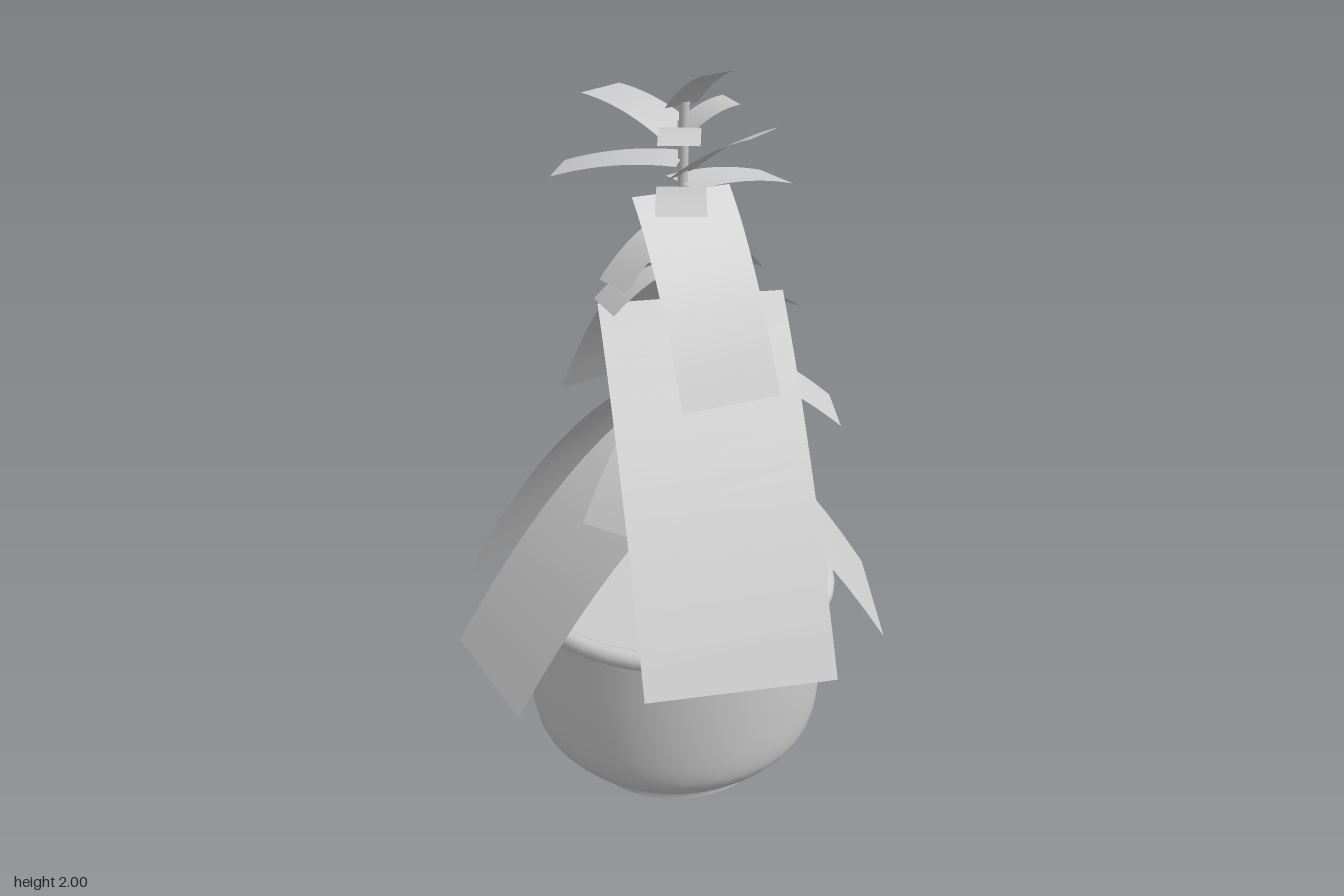
import * as THREE from 'three';

const material = new THREE.MeshStandardMaterial({ color: 0xcccccc, side: THREE.DoubleSide });

// Strip of constant width from the stem to a tip, arched by a bulge
function leaf(name, [x1, z1], y0, y1, width, bulge, x0 = -0.015, z0 = -0.057) {
  const geo = new THREE.PlaneGeometry(1, 1, 1, 10);
  const pos = geo.attributes.position;
  const length = Math.hypot(x1 - x0, z1 - z0);
  const sx = -(z1 - z0) / length, sz = (x1 - x0) / length;
  for (let i = 0; i < pos.count; i++) {
    const side = -pos.getX(i) * width;
    const t = 0.5 - pos.getY(i);
    pos.setXYZ(i,
      x0 + (x1 - x0) * t + sx * side,
      y0 + (y1 - y0) * t + 4 * bulge * t * (1 - t),
      z0 + (z1 - z0) * t + sz * side);
  }
  geo.computeVertexNormals();
  const mesh = new THREE.Mesh(geo, material);
  mesh.name = name;
  return mesh;
}

export function createModel() {
  const group = new THREE.Group();
  const add = (name, geo, x = 0, y = 0, z = 0) => {
    const mesh = new THREE.Mesh(geo, material);
    mesh.name = name;
    mesh.position.set(x, y, z);
    group.add(mesh);
    return mesh;
  };
  const cx = -0.035, cz = -0.057;

  // Pot: foot, rounded bowl, rolled rim and inner wall
  const bowl = new THREE.SplineCurve([
    [0.28, 0.025], [0.335, 0.065], [0.385, 0.12], [0.405, 0.17], [0.415, 0.25], [0.42, 0.38], [0.42, 0.545],
  ].map(([r, y]) => new THREE.Vector2(r, y))).getPoints(18);
  const rim = [];
  for (let i = 0; i <= 10; i++) {
    const a = -Math.PI / 2 + (i / 10) * Math.PI * 1.25;
    rim.push(new THREE.Vector2(0.42 + 0.025 * Math.cos(a), 0.568 + 0.026 * Math.sin(a)));
  }
  const profile = [new THREE.Vector2(0.278, 0), ...bowl, ...rim, new THREE.Vector2(0.39, 0.54)];
  add('pot', new THREE.LatheGeometry(profile, 40), cx, 0, cz);
  add('potBase', new THREE.CircleGeometry(0.278, 40).rotateX(Math.PI / 2), cx, 0.001, cz);
  add('soil', new THREE.CircleGeometry(0.395, 40).rotateX(-Math.PI / 2), cx, 0.555, cz);

  // Slightly leaning stem
  const stem = new THREE.CatmullRomCurve3([
    new THREE.Vector3(-0.038, 0.54, -0.06), new THREE.Vector3(-0.03, 1.0, -0.057),
    new THREE.Vector3(-0.018, 1.5, -0.06), new THREE.Vector3(-0.01, 1.9, -0.063),
  ]);
  add('stem', new THREE.TubeGeometry(stem, 16, 0.013, 8));

  // Leaves: tip [x, z], start height, tip height, width, bulge, optional start x and z
  const leaves = {
    // Large drooping leaves
    largeLeaf: [
      [[0.437, 0.387], 1.41, 0.635, 0.476, 0.055, 0.016, -0.055],
      [[-0.597, -0.074], 1.25, 0.49, 0.478, 0.08, -0.01, -0.062],
      [[-0.308, 0.445], 1.01, 0.42, 0.4, 0.07, -0.034, -0.055],
      [[0.43, -0.368], 1.08, 0.48, 0.385, 0.07, -0.02, -0.055],
      [[-0.075, -0.547], 0.98, 0.545, 0.306, 0.06, -0.01, -0.06],
      [[-0.37, -0.232], 1.515, 1.03, 0.3, 0.05, -0.005, -0.07],
      [[0.237, 0.113], 1.68, 1.235, 0.26, 0.045],
    ],
    // Middle leaves
    middleLeaf: [
      [[0.0, -0.437], 1.15, 0.935, 0.21, 0.03],
      [[0.015, 0.29], 1.145, 0.89, 0.21, 0.04, 0.01, -0.055],
      [[0.315, -0.298], 1.27, 1.07, 0.19, 0.04],
      [[0.05, -0.42], 1.43, 1.29, 0.185, 0.025, 0.013, -0.06],
      [[-0.13, 0.12], 1.52, 1.41, 0.13, 0.02],
      [[0.012, -0.32], 1.61, 1.42, 0.13, 0.02],
      [[-0.09, 0.137], 1.61, 1.48, 0.115, 0.025],
    ],
    // Crown leaves
    crownLeaf: [
      [[-0.305, 0.055], 1.76, 1.718, 0.14, 0.015],
      [[-0.285, -0.108], 1.82, 1.885, 0.135, 0.015],
      [[0.104, -0.322], 1.7, 1.665, 0.138, 0.014],
      [[0.22, -0.045], 1.72, 1.86, 0.127, 0.015],
      [[0.12, 0.16], 1.69, 1.7, 0.12, 0.014],
      [[0.07, 0.09], 1.83, 1.84, 0.1, 0.02],
      [[0.06, -0.165], 1.83, 1.89, 0.1, 0.012],
      [[0.125, -0.005], 1.89, 1.995, 0.1, 0.015],
    ],
  };
  for (const [name, list] of Object.entries(leaves)) {
    list.forEach((p, i) => group.add(leaf(name + (i + 1), ...p)));
  }
  return group;
}
